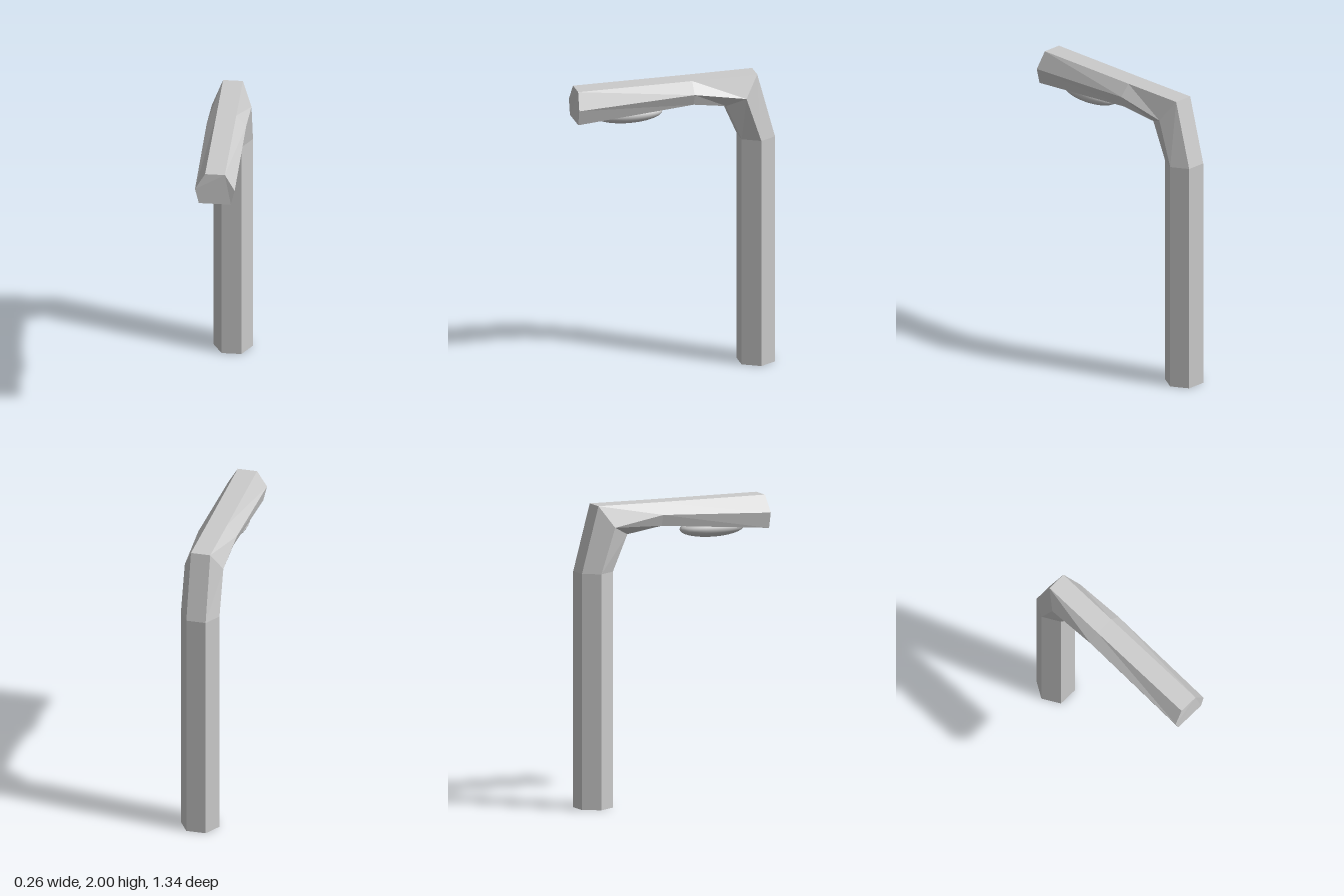
import * as THREE from 'three';

// Each station along the post: [z, y, half-width] for the outer, side and inner edges
const stations = [
  [[-0.67, 0, 0.065], [-0.56, 0, 0.13], [-0.445, 0, 0.065]],
  [[-0.67, 1.56, 0.065], [-0.56, 1.56, 0.13], [-0.445, 1.56, 0.065]],
  [[-0.55, 2, 0.065], [-0.46, 1.86, 0.13], [-0.34, 1.8, 0.065]],
  [[-0.11, 1.995, 0.065], [-0.11, 1.92, 0.13], [-0.11, 1.845, 0.105]],
  [[0.66, 1.99, 0.065], [0.67, 1.88, 0.13], [0.67, 1.775, 0.105]],
];

// Mirrors a station into a six-sided ring
function ring(station) {
  const half = station.map(([z, y, w]) => [w, y, z]);
  const mirrored = half.map(([x, y, z]) => [-x, y, z]).reverse();
  return [...half, ...mirrored];
}

// Skins the rings and closes both ends
function loft(rings) {
  const n = rings[0].length;
  const index = [];
  for (let i = 0; i < rings.length - 1; i++) {
    for (let j = 0; j < n; j++) {
      const k = (j + 1) % n;
      const a = i * n + j, b = i * n + k, c = a + n, d = b + n;
      index.push(a, c, b, b, c, d);
    }
  }
  const last = (rings.length - 1) * n;
  for (let j = 1; j < n - 1; j++) {
    index.push(0, j, j + 1, last, last + j + 1, last + j);
  }
  const indexed = new THREE.BufferGeometry();
  indexed.setAttribute('position', new THREE.Float32BufferAttribute(rings.flat(2), 3));
  indexed.setIndex(index);
  const geometry = indexed.toNonIndexed();
  geometry.computeVertexNormals();
  return geometry;
}

export function createModel() {
  const group = new THREE.Group();
  group.name = 'streetLamp';

  // Bent hexagonal post and arm
  const post = new THREE.Mesh(
    loft(stations.map(ring)),
    new THREE.MeshStandardMaterial({ color: 0xcccccc, flatShading: true })
  );
  post.name = 'postAndArm';
  group.add(post);

  // Flattened bulb sunk into the underside of the arm
  const bulb = new THREE.Mesh(
    new THREE.SphereGeometry(1, 32, 16),
    new THREE.MeshStandardMaterial({ color: 0xcccccc })
  );
  bulb.name = 'bulb';
  bulb.scale.set(0.1, 0.06, 0.23);
  bulb.position.set(0, 1.79, 0.305);
  group.add(bulb);

  return group;
}
